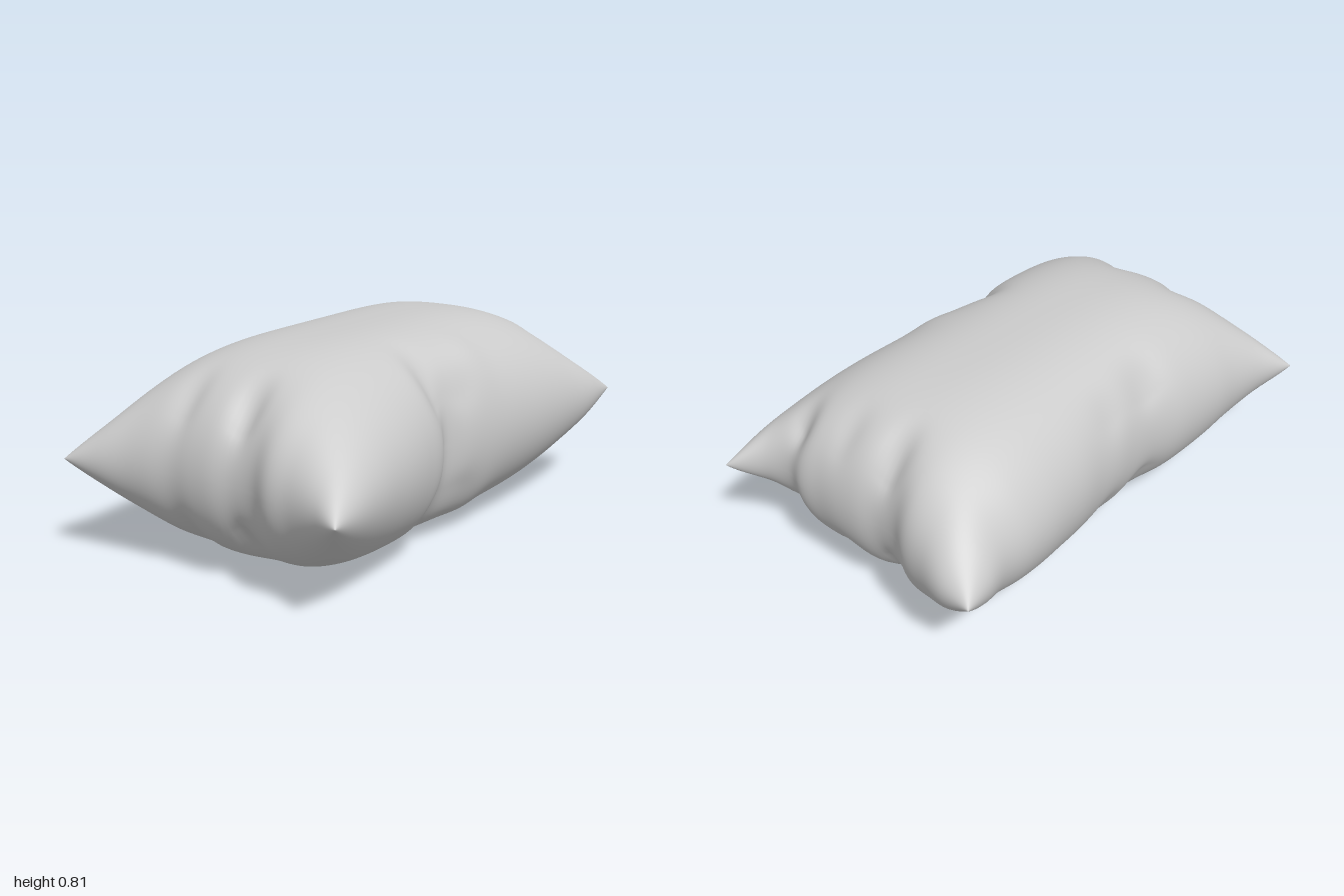
import * as THREE from 'three';
import { mergeVertices } from 'three/addons/utils/BufferGeometryUtils.js';

// Evenly spaced samples from -1 to 1, read as a smooth function
function edge(values) {
  const curve = new THREE.SplineCurve(values.map((v, i) => new THREE.Vector2(i, v)));
  return t => curve.getPoint((t + 1) / 2).y;
}

// Distance of each seam from the middle; long seams run along x, short ones along z
const front = edge([.60, .595, .58, .563, .548, .53, .505, .445, .485, .508, .525, .538, .55, .56, .57, .582, .575]);
const back = edge([.605, .56, .54, .54, .535, .525, .495, .492, .502, .51, .53, .545, .56, .567, .565, .595, .61]);
const rightSeam = edge([1, .975, .945, .925, .905, .905, .90, .88, .885, .925, .93, .95, .985]);
const leftSeam = edge([.925, .935, .915, .895, .85, .845, .872, .885, .89, .897, .87, .905, 1]);

// Soft puckers near the seams: u, v, radius u, radius v, depth
const puckers = [
  [-.2, .85, .07, .22, .05], [-.02, .93, .10, .10, .03], [.12, .8, .1, .2, -.015],
  [-.22, -.88, .10, .14, .04], [.02, -.9, .08, .12, .025],
  [-.9, .17, .10, .10, .05], [-.9, -.3, .10, .10, .025],
  [.9, -.2, .12, .10, .05], [.92, .62, .08, .09, .05], [.88, .2, .1, .1, .02]
];

const HALF_HEIGHT = 0.405;

// Point on the cushion; side is +1 for the upper cover, -1 for the lower
function surfacePoint(u, v, side, out) {
  const xEdge = u < 0 ? rightSeam(v) : leftSeam(v);
  const zEdge = v < 0 ? back(u) : front(u);
  const x = 0.9 * u + Math.sign(u) * u ** 4 * (xEdge - 0.9);
  const z = 0.53 * v + Math.sign(v) * v ** 4 * (zEdge - 0.53);
  const swell = Math.sqrt(Math.max(0, (1 - Math.abs(u) ** 4.4) * (1 - Math.abs(v) ** 2.6)));
  let h = HALF_HEIGHT * swell;
  for (const [pu, pv, ru, rv, depth] of puckers) {
    h -= depth * Math.min(1, swell * 2) * Math.exp(-(((u - pu) / ru) ** 2) - ((v - pv) / rv) ** 2);
  }
  return out.set(x, HALF_HEIGHT + 0.01 * u * u * u + side * h, z);
}

// Two swollen covers over one grid, joined along the seam
function cushionGeometry(nu, nv) {
  const positions = [], index = [], p = new THREE.Vector3();
  const spread = t => Math.sin((t * 2 - 1) * Math.PI / 2); // finer rows near the seams
  for (const side of [1, -1]) {
    const start = positions.length / 3;
    for (let j = 0; j <= nv; j++) {
      for (let i = 0; i <= nu; i++) {
        surfacePoint(spread(i / nu), spread(j / nv), side, p);
        positions.push(p.x, p.y, p.z);
      }
    }
    for (let j = 0; j < nv; j++) {
      for (let i = 0; i < nu; i++) {
        const a = start + j * (nu + 1) + i, b = a + 1, c = a + nu + 1, d = c + 1;
        if (side > 0) index.push(a, c, b, b, c, d);
        else index.push(a, b, c, b, d, c);
      }
    }
  }
  const geometry = new THREE.BufferGeometry();
  geometry.setAttribute('position', new THREE.Float32BufferAttribute(positions, 3));
  geometry.setIndex(index);
  const joined = mergeVertices(geometry, 1e-5);
  joined.computeVertexNormals();
  return joined;
}

export function createModel() {
  const group = new THREE.Group();
  group.name = 'pillow';
  const cushion = new THREE.Mesh(
    cushionGeometry(120, 80),
    new THREE.MeshStandardMaterial({ color: 0xcccccc })
  );
  cushion.name = 'cushion';
  group.add(cushion);
  return group;
}
